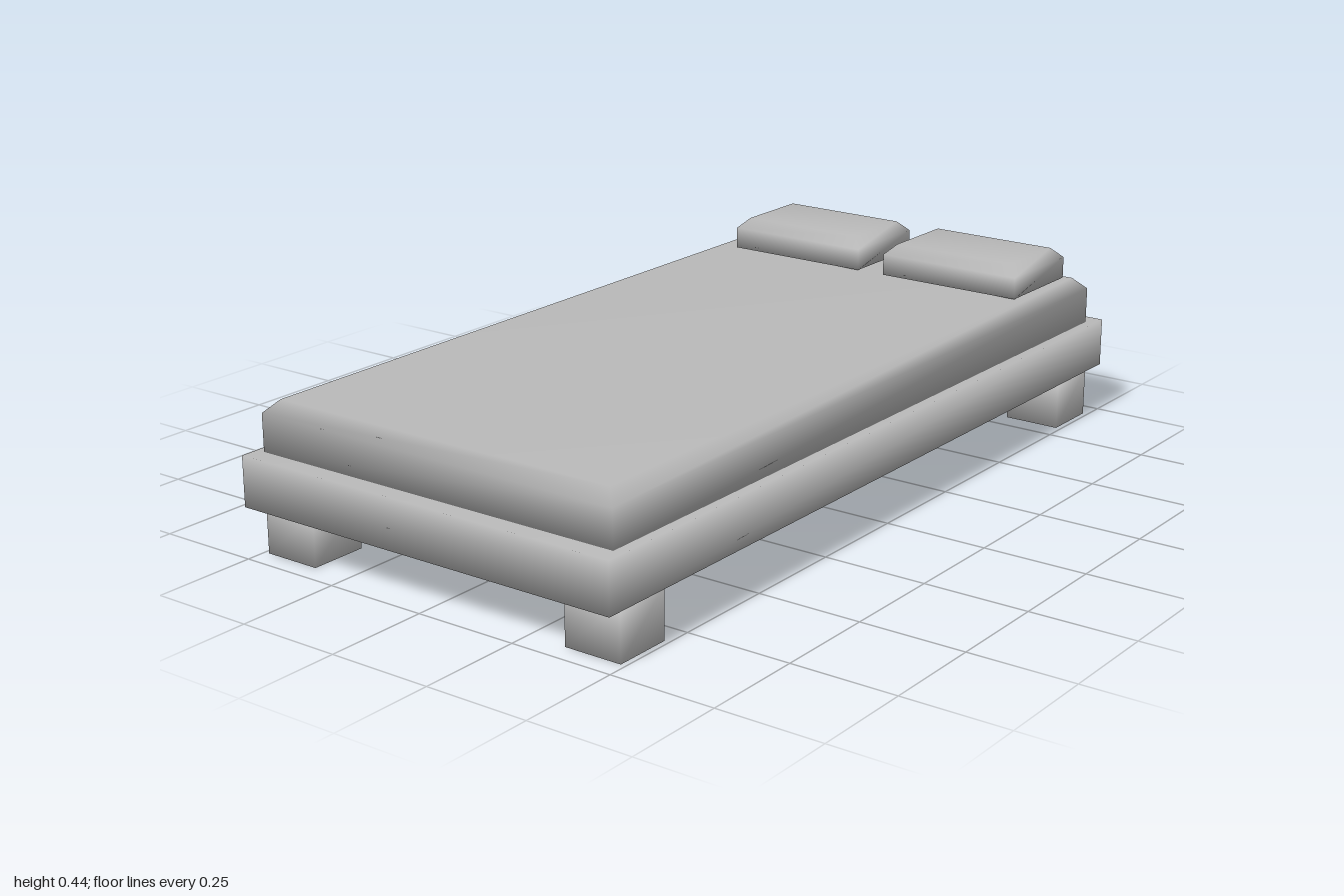
import * as THREE from 'three';

// Smooth-shaded block made from rectangular rings [y, inset], listed bottom to top
function block(width, depth, rings) {
  const pos = [], idx = [];
  for (const [y, inset] of rings) {
    const x = width / 2 - inset, z = depth / 2 - inset;
    pos.push(-x, y, z, x, y, z, x, y, -z, -x, y, -z);
  }
  for (let r = 0; r < rings.length - 1; r++) {
    for (let i = 0; i < 4; i++) {
      const a = r * 4 + i, b = r * 4 + (i + 1) % 4;
      idx.push(a, b, b + 4, a, b + 4, a + 4);
    }
  }
  const t = (rings.length - 1) * 4;
  idx.push(0, 2, 1, 0, 3, 2, t, t + 1, t + 2, t, t + 2, t + 3);
  const geo = new THREE.BufferGeometry();
  geo.setAttribute('position', new THREE.Float32BufferAttribute(pos, 3));
  geo.setIndex(idx);
  geo.computeVertexNormals();
  return geo;
}

export function createModel() {
  const bed = new THREE.Group();
  bed.name = 'bed';
  const grey = new THREE.MeshStandardMaterial({ color: 0xb8b8b8 });
  grey.name = 'plain grey';

  const add = (name, geo, x = 0, y = 0, z = 0) => {
    const mesh = new THREE.Mesh(geo, grey);
    mesh.name = name;
    mesh.position.set(x, y, z);
    bed.add(mesh);
  };

  // Base frame and mattress with a bevelled top edge
  add('frame', block(1, 2, [[0.12, 0], [0.238, 0]]));
  add('mattress', block(0.955, 1.912, [[0.238, 0], [0.326, 0], [0.355, 0.029]]), -0.001);

  // Four square legs
  const leg = block(0.141, 0.141, [[0, 0], [0.12, 0]]);
  for (const [side, x] of [['right', -0.417], ['left', 0.417]]) {
    add(side + 'FrontLeg', leg, x, 0, 0.88);
    add(side + 'BackLeg', leg, x, 0, -0.875);
  }

  // Two pillows at the back end
  const pillow = block(0.376, 0.244, [[0, 0], [0.053, 0], [0.078, 0.025]]);
  add('rightPillow', pillow, -0.208, 0.357, -0.787);
  add('leftPillow', pillow, 0.243, 0.357, -0.787);

  return bed;
}
